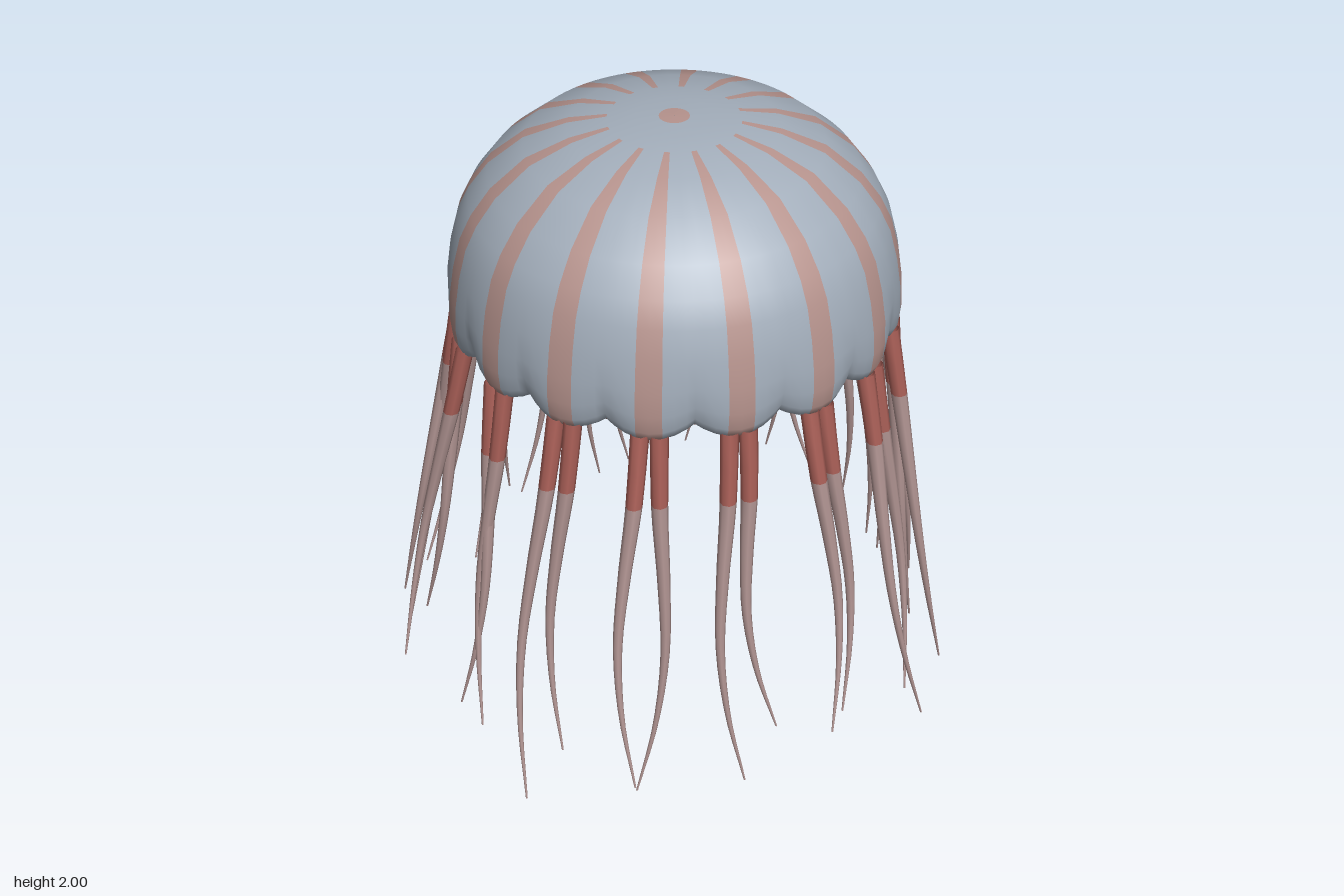
import * as THREE from 'three';

const mat = (name, color, side = THREE.FrontSide) =>
  Object.assign(new THREE.MeshStandardMaterial({ color, side }), { name });

const LOBES = 16;
const STEP = (Math.PI * 2) / LOBES;

// Skin rows of points (top to bottom, each a closed loop) and pick a material per quad
function skin(rows, materialOf) {
  const n = rows[0].length;
  const buckets = [[], []];
  for (let i = 0; i < rows.length - 1; i++) {
    for (let j = 0; j < n; j++) {
      const k = (j + 1) % n;
      const a = i * n + j, b = a + n, c = (i + 1) * n + k, d = i * n + k;
      buckets[materialOf(i, j)].push(a, b, c, a, c, d);
    }
  }
  const g = new THREE.BufferGeometry();
  g.setAttribute('position', new THREE.Float32BufferAttribute(rows.flat(2), 3));
  g.setIndex(buckets.flat());
  g.addGroup(0, buckets[0].length, 0);
  if (buckets[1].length) g.addGroup(buckets[0].length, buckets[1].length, 1);
  g.computeVertexNormals();
  return g;
}

// Bell profile: radius, height, scallop weight; over the outside, round the rim, up the inside
const PROFILE = [
  [0.001, 2, 0], [0.047, 1.999, 0], [0.12, 1.996, 0], [0.205, 1.988, 0], [0.325, 1.965, 0],
  [0.46, 1.912, 0], [0.57, 1.82, 0], [0.632, 1.735, 0], [0.668, 1.66, 0], [0.693, 1.56, 0],
  [0.708, 1.46, 0.3], [0.712, 1.38, 0.65], [0.706, 1.32, 0.95], [0.692, 1.29, 1],
  [0.675, 1.286, 1], [0.665, 1.31, 0.9], [0.672, 1.4, 0.4], [0.658, 1.56, 0],
  [0.612, 1.69, 0], [0.53, 1.8, 0], [0.4, 1.883, 0], [0.205, 1.94, 0], [0.001, 1.96, 0],
];

function bellGeometry() {
  // Positions across one lobe; the middle two strips carry the stripe, narrower near the crown
  const rows = PROFILE.map(([r, y, w]) => {
    const s = Math.min(0.29, 0.13 + r * 0.4);
    const across = [-1, -0.82, -0.55, -s, 0, s, 0.55, 0.82];
    const row = [];
    for (let l = 0; l < LOBES; l++) {
      for (const u of across) {
        const a = (l + 0.5 + u / 2) * STEP;
        const notch = w * Math.abs(u) ** 2;
        const rr = r * (1 - 0.03 * notch);
        row.push([rr * Math.sin(a), y + 0.045 * notch, rr * Math.cos(a)]);
      }
    }
    return row;
  });
  return skin(rows, (i, j) => {
    const stripe = (j % 8 === 3 || j % 8 === 4) && i >= 3 && i < PROFILE.length - 2;
    return stripe || i === 0 ? 1 : 0;
  });
}

// Tentacle tips (x, y, z), two per lobe, going round from the back towards the left side
const TIPS = [
  [0.2, 0.1, -0.91], [0.22, 0.08, -0.87], [0.53, 0.04, -0.77], [0.6, 0.1, -0.69],
  [0.78, 0.14, -0.57], [0.84, 0.2, -0.43], [0.86, 0.22, -0.26], [0.895, 0.17, -0.08],
  [0.885, 0.17, 0.07], [0.885, 0.02, 0.18], [0.71, 0.14, 0.35], [0.72, 0.11, 0.48],
  [0.53, 0.1, 0.62], [0.515, 0.0, 0.76], [0.185, 0.12, 0.85], [0.2, 0.04, 0.91],
  [-0.13, 0.22, 0.83], [-0.24, 0.23, 0.873], [-0.35, 0.25, 0.735], [-0.46, 0.08, 0.7],
  [-0.69, 0.05, 0.45], [-0.75, 0.13, 0.495], [-0.78, 0.15, 0.22], [-0.9, 0, 0.17],
  [-0.83, 0.12, -0.08], [-0.8, 0.13, -0.2], [-0.76, 0.15, -0.49], [-0.6, 0.23, -0.54],
  [-0.49, 0.02, -0.735], [-0.45, 0.08, -0.8], [-0.25, 0.04, -0.89], [-0.13, 0.04, -0.77],
];

// Tapered tentacle bowing sideways before sweeping to its tip
function tentacleGeometry(base, tip, side) {
  const delta = tip.clone().sub(base);
  const bow = delta.dot(side) > 0 ? -1 : 1;
  const points = [0, 0.015, 0.042, 0.06, 0.045, 0].map((lateral, i) =>
    base.clone().addScaledVector(delta, i / 5).addScaledVector(side, lateral * bow));
  const curve = new THREE.CatmullRomCurve3(points, false, 'catmullrom', 0.5);
  // Height falls evenly along the curve, so the colour change is level
  const cut = (base.y - 1.07) / (base.y - tip.y);
  const rows = [];
  for (let i = 0; i <= 16; i++) {
    const s = Math.max(0, (i - 2) / 14);
    const t = Math.min(1, i < 2 ? (cut * i) / 2 : cut + (1 - cut) * s);
    const p = curve.getPoint(t);
    const r = i < 2 ? 0.029 - 0.0015 * i : 0.003 + 0.023 * (1 - s);
    rows.push(Array.from({ length: 8 }, (_, j) => {
      const a = (j / 8) * Math.PI * 2;
      return [p.x + r * Math.sin(a), p.y, p.z + r * Math.cos(a)];
    }));
  }
  return skin(rows, (i) => (i < 2 ? 0 : 1));
}

// Central mouth stalk flaring into four ragged arms
function stalkGeometry() {
  const profile = [[0.085, 1.95, 0], [0.075, 1.75, 0.05], [0.07, 1.58, 0.15],
    [0.075, 1.48, 0.3], [0.09, 1.4, 0.45], [0.125, 1.31, 0.65]];
  const rows = profile.map(([r, y, star]) => Array.from({ length: 24 }, (_, j) => {
    const a = (j / 24) * Math.PI * 2;
    const c = (1 + Math.cos(a * 4)) / 2;
    const rr = r * (1 - star * (1 - c));
    return [rr * Math.sin(a), y + 0.06 * star * (1 - c), rr * Math.cos(a)];
  }));
  return skin(rows, () => 0);
}

export function createModel() {
  const bellGrey = mat('bell blue grey', 0xa3aebb);
  const stripePink = mat('stripe pink', 0xb6938d);
  const coral = mat('deep coral', 0xa95f57, THREE.DoubleSide);
  const palePink = mat('pale tentacle', 0xae9290);

  const model = new THREE.Group();
  model.name = 'jellyfish';
  const add = (parent, name, geometry, material) => {
    const mesh = new THREE.Mesh(geometry, material);
    mesh.name = name;
    parent.add(mesh);
    return mesh;
  };

  const centre = new THREE.Vector3(0.034, 0, -0.004);
  const body = new THREE.Group();
  body.name = 'body';
  body.position.copy(centre);
  model.add(body);
  add(body, 'bell', bellGeometry(), [bellGrey, stripePink]);
  add(body, 'mouthStalk', stalkGeometry(), [coral]);

  // Sense beads in the notches between lobes
  const bead = new THREE.SphereGeometry(0.024, 10, 8);
  for (let l = 0; l < LOBES; l++) {
    const a = l * STEP;
    add(body, 'rimBead', bead, coral)
      .position.set(0.645 * Math.sin(a), 1.342, 0.645 * Math.cos(a));
  }

  // A pair of tentacles under every lobe
  const tentacles = new THREE.Group();
  tentacles.name = 'tentacles';
  model.add(tentacles);
  TIPS.forEach((tip, i) => {
    const a = Math.PI - (Math.floor(i / 2) + 0.5) * STEP;
    const side = new THREE.Vector3(-Math.cos(a), 0, Math.sin(a));
    const base = new THREE.Vector3(0.68 * Math.sin(a), 1.305, 0.68 * Math.cos(a))
      .add(centre).addScaledVector(side, i % 2 ? 0.029 : -0.029);
    add(tentacles, 'tentacle', tentacleGeometry(base, new THREE.Vector3(...tip), side), [coral, palePink]);
  });
  return model;
}
